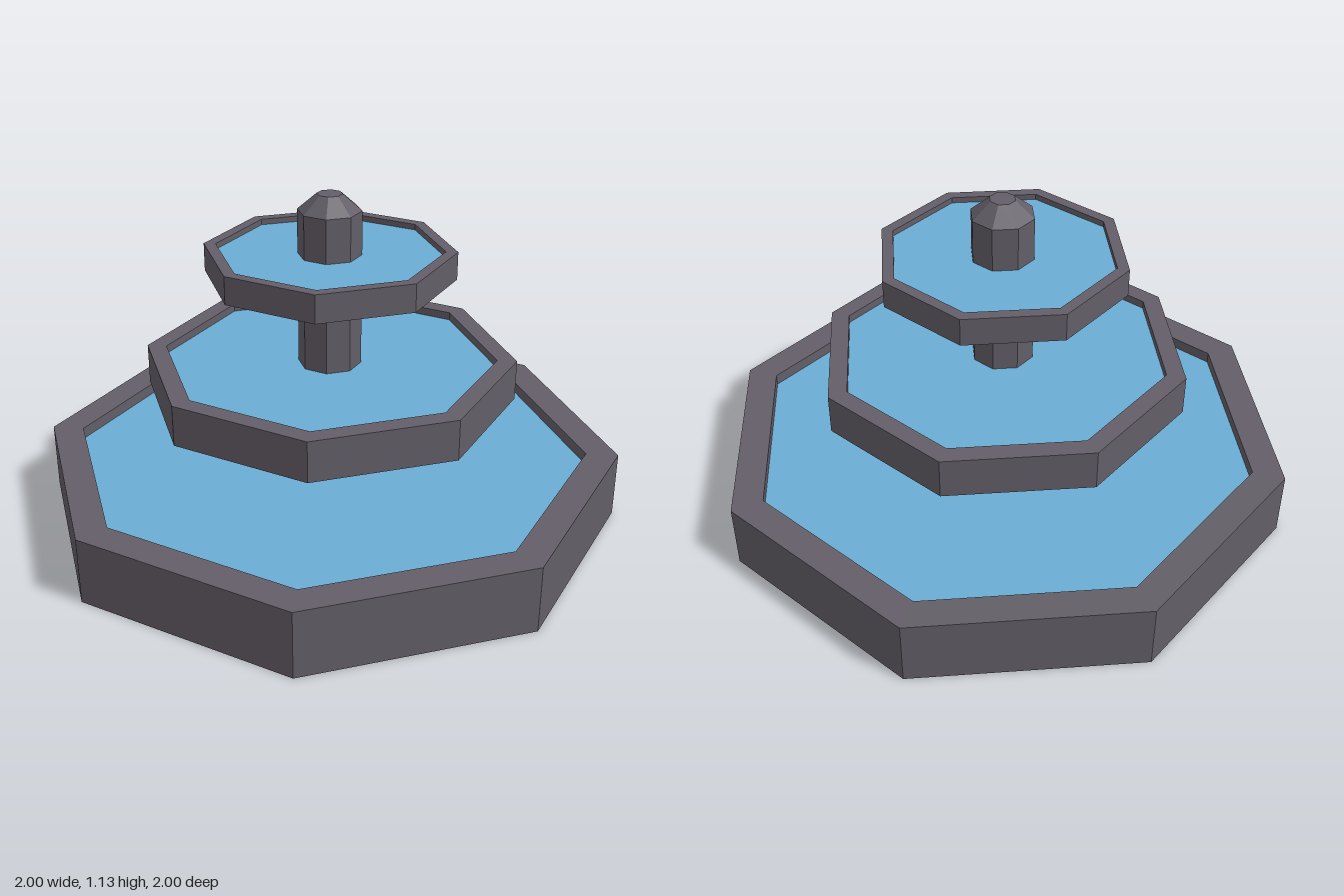
import * as THREE from 'three';

const SIDES = 8;

// Hard facets: every triangle gets its own normal
function faceted(geometry) {
  const g = geometry.index ? geometry.toNonIndexed() : geometry;
  g.computeVertexNormals();
  return g;
}

function lathe(points) {
  return faceted(new THREE.LatheGeometry(points.map(([r, y]) => new THREE.Vector2(r, y)), SIDES));
}

export function createModel() {
  const stone = new THREE.MeshStandardMaterial({ color: 0x635e67 });
  stone.name = 'stone';
  const water = new THREE.MeshStandardMaterial({ color: 0x6aaed4 });
  water.name = 'water';

  const model = new THREE.Group();
  model.name = 'fountain';

  function add(parent, name, geometry, material) {
    const mesh = new THREE.Mesh(geometry, material);
    mesh.name = name;
    parent.add(mesh);
    return mesh;
  }

  // Three stacked octagonal basins, each a hollow stone dish filled with water
  const tiers = [
    { name: 'lowerBasin', outer: 1.0, inner: 0.89, bottom: 0, top: 0.23, drop: 0.04 },
    { name: 'middleBasin', outer: 0.633, inner: 0.567, bottom: 0.43, top: 0.57, drop: 0.028 },
    { name: 'upperBasin', outer: 0.42, inner: 0.38, bottom: 0.855, top: 0.95, drop: 0.02 },
  ];
  for (const { name, outer, inner, bottom, top, drop } of tiers) {
    const basin = new THREE.Group();
    basin.name = name;
    const level = top - drop;
    add(basin, name + 'Stone', lathe([
      [0, bottom], [outer, bottom], [outer, top], [inner, top], [inner, level - 0.01],
    ]), stone);
    const surface = new THREE.CircleGeometry(inner, SIDES).rotateX(-Math.PI / 2);
    add(basin, name + 'Water', surface, water).position.y = level;
    model.add(basin);
  }

  // Central column with a chamfered cap
  add(model, 'column', lathe([[0.107, 0.1], [0.107, 1.08]]), stone);
  add(model, 'columnCap', lathe([[0.107, 1.08], [0.043, 1.135], [0, 1.135]]), stone);

  return model;
}
